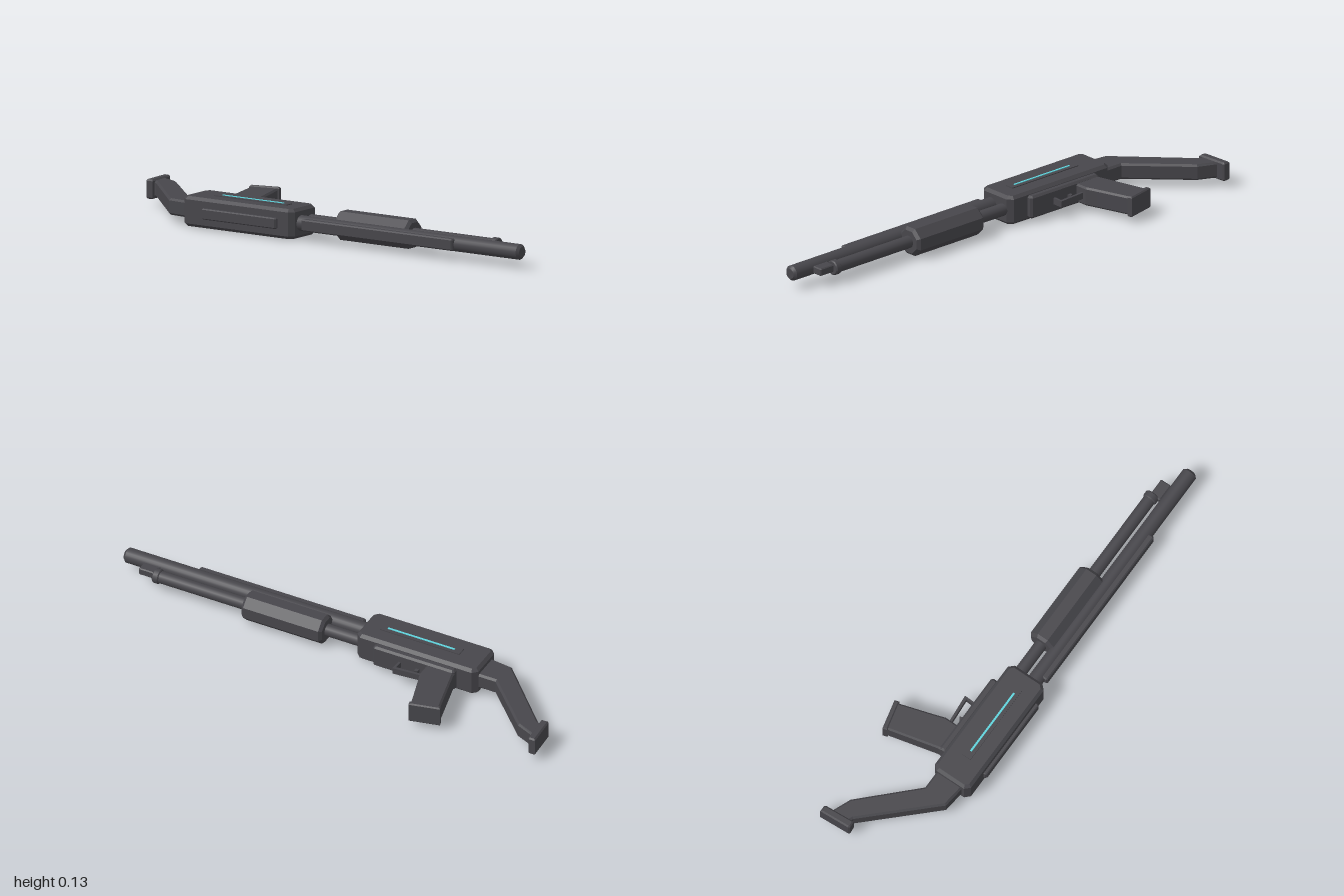
import * as THREE from 'three';

const CY = 0.066; // height of the centre plane

export function createModel() {
  const model = new THREE.Group();
  const gunmetal = new THREE.MeshStandardMaterial({ color: 0x47464b, flatShading: true });
  gunmetal.name = 'gunmetal';
  const glow = new THREE.MeshStandardMaterial({ color: 0x5fd3dc });
  glow.name = 'cyanGlow';
  const smoothMetal = gunmetal.clone();
  smoothMetal.flatShading = false;
  smoothMetal.name = 'smoothGunmetal';

  const add = (name, geometry, material = gunmetal) => {
    const mesh = new THREE.Mesh(geometry, material);
    mesh.name = name;
    model.add(mesh);
    return mesh;
  };

  // Bevelled slab from an [x, z] outline, centred on the middle plane
  const slab = (name, points, height, bevel) => {
    const shape = new THREE.Shape(points.map(([x, z]) => new THREE.Vector2(x, -z)));
    const geometry = new THREE.ExtrudeGeometry(shape, {
      depth: height - 2 * bevel, bevelEnabled: bevel > 0, bevelThickness: bevel,
      bevelSize: bevel, bevelOffset: -bevel, bevelSegments: 1,
    });
    geometry.rotateX(-Math.PI / 2).translate(0, CY - height / 2 + bevel, 0);
    return add(name, geometry);
  };

  // Rectangle outline with cut corners
  const rect = (x0, x1, z0, z1, c) => [
    [x0 + c, z0], [x1 - c, z0], [x1, z0 + c], [x1, z1 - c],
    [x1 - c, z1], [x0 + c, z1], [x0, z1 - c], [x0, z0 + c],
  ];

  // Capped rod along z with chamfered ends
  const rod = (name, x, r, z0, z1, chamfer, sides, material = smoothMetal) => {
    const rings = [[0, z0], [r - chamfer, z0], [r, z0 + chamfer], [r, z1 - chamfer], [r - chamfer, z1], [0, z1]];
    // Repeated rings keep the chamfer edges sharp
    const profile = rings.slice(1).map((p, i) => [rings[i], p]);
    const group = new THREE.Group();
    group.name = name;
    for (const pair of profile) {
      const geometry = new THREE.LatheGeometry(pair.map(([a, b]) => new THREE.Vector2(a, b)), sides, Math.PI / sides);
      const mesh = new THREE.Mesh(geometry.rotateX(Math.PI / 2), material);
      mesh.name = name + 'Section';
      group.add(mesh);
    }
    group.position.set(x, CY, 0);
    model.add(group);
  };

  // Receiver and its side plates
  slab('receiver', rect(-0.222, -0.05, -0.605, -0.07, 0.02), 0.12, 0.012);
  slab('sideRail', rect(-0.236, -0.215, -0.5, -0.14, 0.006), 0.043, 0.004);
  slab('gripPlate', rect(-0.056, -0.024, -0.52, -0.16, 0.008), 0.094, 0.008);

  // Recessed-look panel and light strip on both broad faces
  for (const side of [1, -1]) {
    const panel = add('lightPanel', new THREE.BoxGeometry(0.038, 0.006, 0.35));
    panel.position.set(-0.137, CY + side * 0.0605, -0.32);
    const strip = add('lightStrip', new THREE.BoxGeometry(0.008, 0.004, 0.295), glow);
    strip.position.set(-0.137, CY + side * 0.064, -0.318);
  }

  // Barrel, top rib and magazine tube
  rod('barrel', -0.16, 0.031, -0.08, 1, 0.01, 24);
  slab('barrelRib', rect(-0.203, -0.175, -0.04, 0.69, 0.005), 0.047, 0.005);
  rod('magazineTube', -0.093, 0.025, -0.08, 0.83, 0.004, 20);
  rod('magazineCap', -0.093, 0.03, 0.81, 0.838, 0.004, 20);
  slab('muzzleLug', rect(-0.132, -0.085, 0.83, 0.905, 0.004), 0.031, 0.004);

  // Sliding fore-end
  rod('foreEnd', -0.093, 0.0615, 0.075, 0.43, 0.012, 8, gunmetal);

  // Pistol grip and its end cap
  slab('grip', [
    [-0.035, -0.52], [-0.02, -0.52], [0.195, -0.572], [0.222, -0.458],
    [0.075, -0.413], [0.03, -0.398], [-0.035, -0.398],
  ], 0.077, 0.007);
  slab('gripCap', [[0.186, -0.574], [0.206, -0.58], [0.235, -0.455], [0.215, -0.45]], 0.086, 0.005);

  // Trigger guard and trigger
  slab('triggerGuard', [
    [-0.03, -0.286], [0.012, -0.284], [0.004, -0.4], [0.014, -0.4],
    [0.025, -0.274], [-0.03, -0.276],
  ], 0.026, 0);
  slab('trigger', [[-0.03, -0.37], [-0.012, -0.366], [-0.006, -0.354], [-0.016, -0.352], [-0.03, -0.352]], 0.014, 0);

  // Angled stock with butt pad
  slab('stock', [
    [-0.192, -0.59], [-0.18, -0.695], [0.085, -0.95], [0.095, -0.975], [0.175, -0.975],
    [0.14, -0.89], [-0.07, -0.68], [-0.07, -0.59],
  ], 0.066, 0.008);
  slab('buttPad', [[0.073, -0.988], [0.08, -0.993], [0.208, -1], [0.208, -0.972], [0.2, -0.968], [0.075, -0.96]], 0.078, 0.006);

  return model;
}
